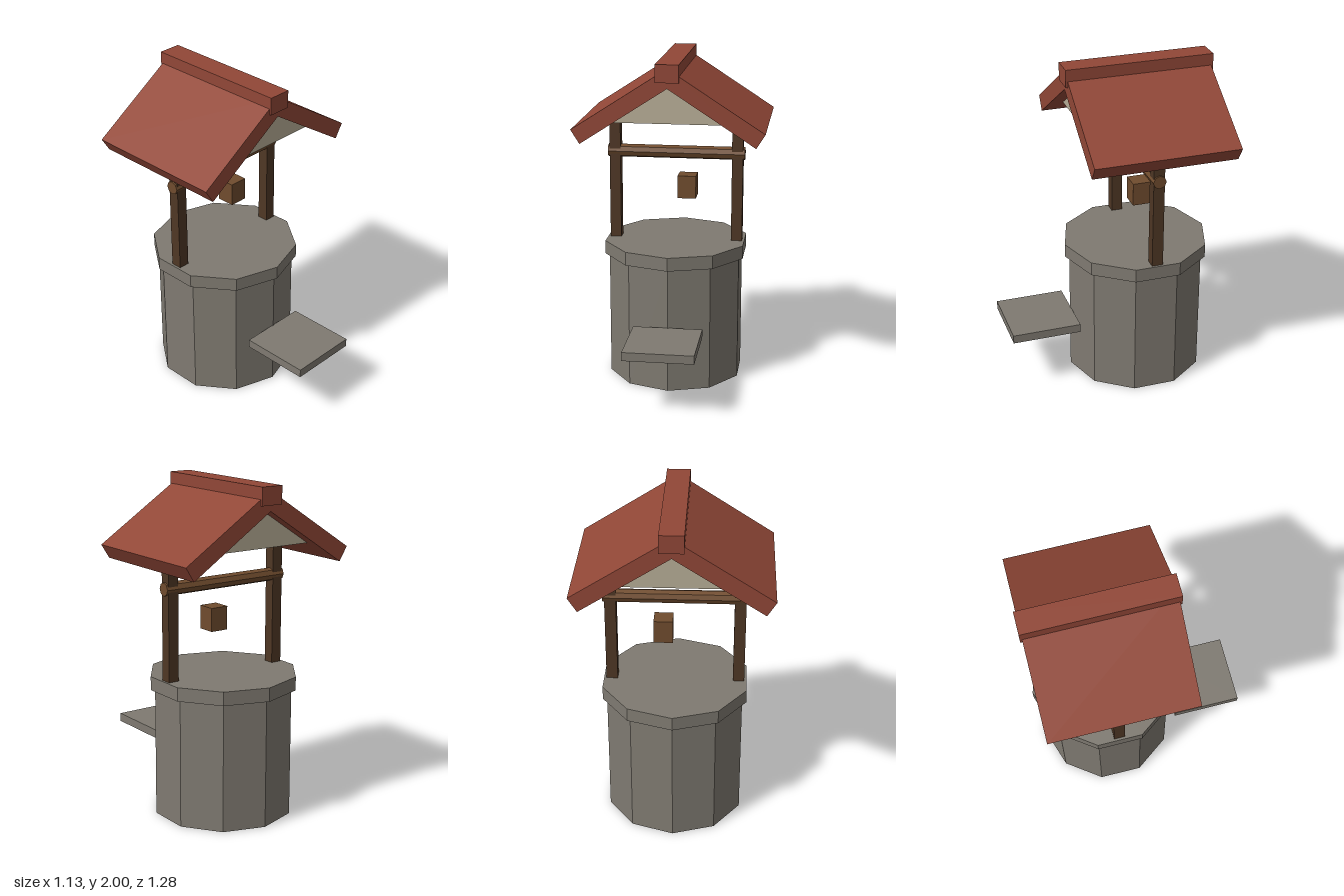
import * as THREE from 'three';

const mat = (name, color) => {
  const m = new THREE.MeshStandardMaterial({ color });
  m.name = name;
  return m;
};

export function createModel() {
  const stone = mat('stone', 0x7f7a71);
  const darkWood = mat('darkWood', 0x4f3725);
  const lightWood = mat('lightWood', 0x704c2e);
  const tile = mat('roofTile', 0x914737);
  const plaster = mat('plaster', 0xb8ae97);

  const model = new THREE.Group();
  model.name = 'well';
  const Z = -0.195; // axis of the well shaft

  const add = (name, geometry, material, x, y, z) => {
    const geo = geometry.index ? geometry.toNonIndexed() : geometry;
    geo.computeVertexNormals(); // faceted
    const mesh = new THREE.Mesh(geo, material);
    mesh.name = name;
    mesh.position.set(x, y, z);
    model.add(mesh);
    return mesh;
  };
  const box = (name, material, w, h, d, x, y, z) =>
    add(name, new THREE.BoxGeometry(w, h, d), material, x, y, z);

  // Front-facing outline extruded along z, centred on the given z
  const prism = (name, material, points, depth, z) => {
    const shape = new THREE.Shape(points.map(([x, y]) => new THREE.Vector2(x, y)));
    const geo = new THREE.ExtrudeGeometry(shape, { depth, bevelEnabled: false });
    return add(name, geo, material, 0, 0, z - depth / 2);
  };

  // Ten-sided shaft and its capping rim
  add('wellWall', new THREE.CylinderGeometry(0.42, 0.42, 0.775, 10), stone, 0, 0.3875, Z);
  add('wellRim', new THREE.CylinderGeometry(0.446, 0.446, 0.082, 10), stone, 0, 0.815, Z);

  // Step slab in front
  box('frontLedge', stone, 0.42, 0.052, 0.42, 0, 0.381, 0.43);

  // Posts, winding axle and bucket
  for (const [name, side] of [['leftPost', 1], ['rightPost', -1]]) {
    box(name, darkWood, 0.067, 0.81, 0.067, side * 0.376, 1.255, Z);
  }
  const axle = add('axle', new THREE.CylinderGeometry(0.04, 0.04, 0.84, 8), lightWood, 0, 1.4, Z);
  axle.rotation.z = Math.PI / 2;
  box('bucket', lightWood, 0.112, 0.14, 0.112, 0.069, 1.191, Z);

  // Pitched roof with its ridge beam
  prism('roof', tile, [
    [0, 1.975], [-0.565, 1.61], [-0.513, 1.527],
    [0, 1.86], [0.513, 1.527], [0.565, 1.61],
  ], 0.866, Z);
  box('ridgeBeam', tile, 0.138, 0.105, 0.89, 0, 1.9475, Z);

  // Gable panels set in from both roof ends
  for (const [name, side] of [['frontGable', 1], ['backGable', -1]]) {
    prism(name, plaster, [[-0.345, 1.64], [0.345, 1.64], [0, 1.864]], 0.05, Z + side * 0.322);
  }

  return model;
}
